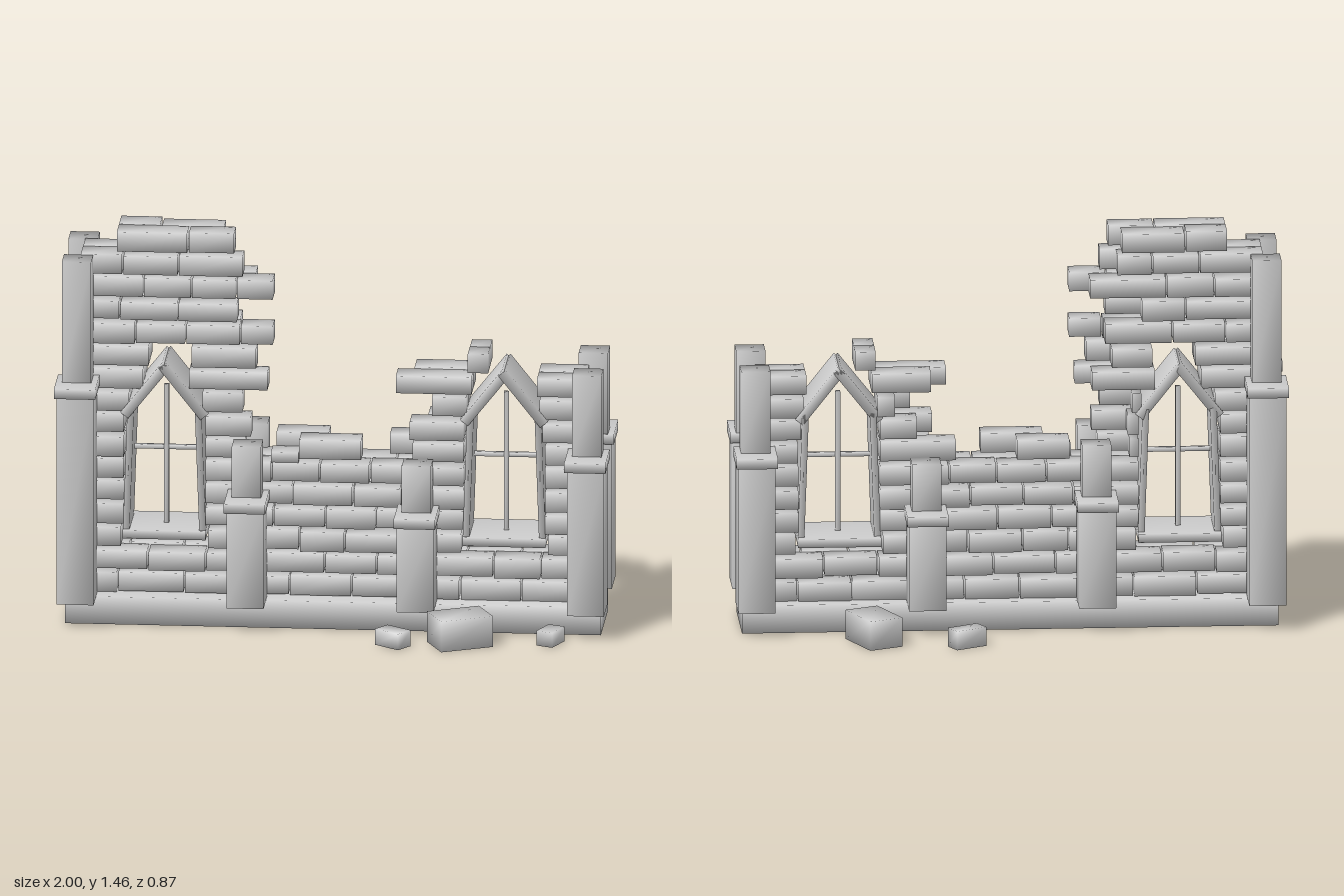
import * as THREE from 'three';
import { mergeVertices } from 'three/addons/utils/BufferGeometryUtils.js';

const stone = new THREE.MeshStandardMaterial({ color: 0xcccccc });

// Seeded random so the masonry is always the same
let seed = 7;
function rand() {
  seed = (seed * 16807) % 2147483647;
  return seed / 2147483647;
}

// Stone block with normals shared across its corners for a soft, worn look
function block(w, h, d) {
  const g = new THREE.BoxGeometry(w, h, d);
  g.deleteAttribute('normal');
  g.deleteAttribute('uv');
  const m = mergeVertices(g);
  m.computeVertexNormals();
  return m;
}

function add(parent, name, x0, x1, y0, y1, z0, z1) {
  const mesh = new THREE.Mesh(block(x1 - x0, y1 - y0, z1 - z0), stone);
  mesh.position.set((x0 + x1) / 2, (y0 + y1) / 2, (z0 + z1) / 2);
  mesh.name = name;
  parent.add(mesh);
  return mesh;
}

// Wall courses from the bottom up: pairs of start and end x
const courses = [
  [[-0.92, 0.92]],
  [[-0.92, 0.92]],
  [[-0.92, -0.77], [-0.46, 0.46], [0.77, 0.92]],
  [[-0.92, -0.76], [-0.47, 0.47], [0.76, 0.92]],
  [[-0.92, -0.76], [-0.47, 0.47], [0.76, 0.92]],
  [[-0.92, -0.76], [-0.47, 0.47], [0.76, 0.92]],
  [[-0.92, -0.76], [-0.47, -0.32], [-0.13, 0.1], [0.28, 0.47], [0.76, 0.92]],
  [[-0.92, -0.76], [-0.47, -0.3], [0.27, 0.47], [0.75, 0.92]],
  [[-0.92, -0.74], [-0.48, -0.33], [0.35, 0.48], [0.74, 0.92]],
  [[-0.92, -0.69], [-0.53, -0.24], [0.22, 0.5], [0.73, 0.91]],
  [[-0.92, -0.67], [-0.52, -0.28], [0.48, 0.56]],
  [[-0.92, -0.22]],
  [[-0.92, -0.35]],
  [[-0.92, -0.22]],
  [[-0.92, -0.33]],
  [[-0.79, -0.36]],
];

// One skin of brickwork; the back skin is more broken at the ragged ends
function wallSkin(side) {
  const skin = new THREE.Group();
  skin.name = side > 0 ? 'frontBrickwork' : 'backBrickwork';
  courses.forEach((spans, row) => {
    const y = 0.14 + row * 0.0853;
    for (const span of spans) {
      let [a, b] = span;
      if (side < 0 && row > 5) {
        if (a > -0.3 && a < 0.4) a += side * (row === 6 ? 0.09 : -0.06);
        if (b < 0.2 && b > -0.45) b -= 0.04 + 0.1 * rand();
      }
      const n = Math.max(1, Math.round((b - a) / 0.2));
      const step = (b - a) / n;
      // Inner joints shift by course so that they do not line up
      const shift = ((row + (side < 0 ? 1 : 0)) % 2 ? 0.24 : -0.24) * step;
      const joints = [a];
      for (let i = 1; i < n; i++) joints.push(a + i * step + shift + (rand() - 0.5) * 0.04);
      joints.push(b);
      for (let i = 0; i < n; i++) {
        const h = 0.032 + rand() * 0.005;
        const dy = (rand() - 0.5) * 0.008;
        const outer = 0.096 + rand() * 0.014;
        const z = side > 0 ? [0.008, outer] : [-outer + 0.006, 0.004];
        add(skin, 'brick', joints[i] + 0.003, joints[i + 1] - 0.003, y + dy - h, y + dy + h, ...z);
      }
    }
  });
  return skin;
}

// Buttress: wide shaft, cap slab and narrower upper shaft
function buttress(x, capY, topY, side) {
  const g = new THREE.Group();
  g.name = side > 0 ? 'frontButtress' : 'backButtress';
  const z = (inner, outer) => (side > 0 ? [inner, outer] : [-outer + 0.015, -inner + 0.015]);
  add(g, 'lowerShaft', x - 0.067, x + 0.067, 0.1, capY, ...z(0.107, 0.27));
  add(g, 'cap', x - 0.075, x + 0.075, capY, capY + 0.036, ...z(0.1, 0.295));
  add(g, 'upperShaft', x - 0.053, x + 0.053, capY + 0.036, topY, ...z(0.107, 0.205));
  return g;
}

// Pointed window: sill, leaning jambs, arch beams and a cross of bars
function archedWindow(x) {
  const g = new THREE.Group();
  g.name = 'window';
  add(g, 'sill', -0.15, 0.15, 0.31, 0.342, -0.13, 0.12);
  for (const s of [-1, 1]) {
    const jamb = add(g, 'jamb', -0.012, 0.012, 0.34, 0.8, -0.1, 0.105);
    jamb.position.x = s * 0.13;
    jamb.rotation.z = s * 0.035;
    const beam = add(g, 'archBeam', -0.122, 0.122, -0.018, 0.018, -0.1, 0.112);
    beam.position.set(s * 0.069, 0.866, 0.006);
    beam.rotation.z = -s * 0.9;
  }
  add(g, 'mullion', -0.009, 0.009, 0.34, 0.86, -0.01, 0.01);
  add(g, 'crossBar', -0.125, 0.125, 0.617, 0.633, -0.008, 0.008);
  g.position.x = x;
  return g;
}

export function createModel() {
  seed = 7;
  const model = new THREE.Group();
  model.name = 'ruinedWall';
  add(model, 'foundation', -0.97, 0.97, 0, 0.103, -0.15, 0.165);
  model.add(wallSkin(1), wallSkin(-1));

  // Stray bricks left on the low middle section
  add(model, 'looseBrick', -0.23, -0.13, 0.6, 0.64, 0.01, 0.1);

  // Buttresses: x, cap height, top height
  for (const [x, capY, topY] of [
    [-0.925, 0.88, 1.37], [-0.31, 0.463, 0.69], [0.305, 0.42, 0.63], [0.922, 0.645, 0.985],
  ]) {
    for (const side of [1, -1]) model.add(buttress(x, capY, topY, side));
  }

  for (const x of [-0.615, 0.615]) model.add(archedWindow(x));

  // Fallen stones: x, z, width, height, depth, turn
  for (const [x, z, w, h, d, turn] of [
    [0.17, -0.38, 0.125, 0.07, 0.065, 0.5],
    [0.503, -0.31, 0.13, 0.108, 0.195, 0.42],
    [0.232, 0.355, 0.11, 0.06, 0.07, -0.63],
    [0.473, 0.322, 0.2, 0.115, 0.145, 0.44],
    [0.797, 0.282, 0.065, 0.055, 0.097, -0.4],
  ]) {
    const fallen = add(model, 'fallenStone', x - w / 2, x + w / 2, 0, h, z - d / 2, z + d / 2);
    fallen.rotation.y = turn;
  }
  return model;
}
